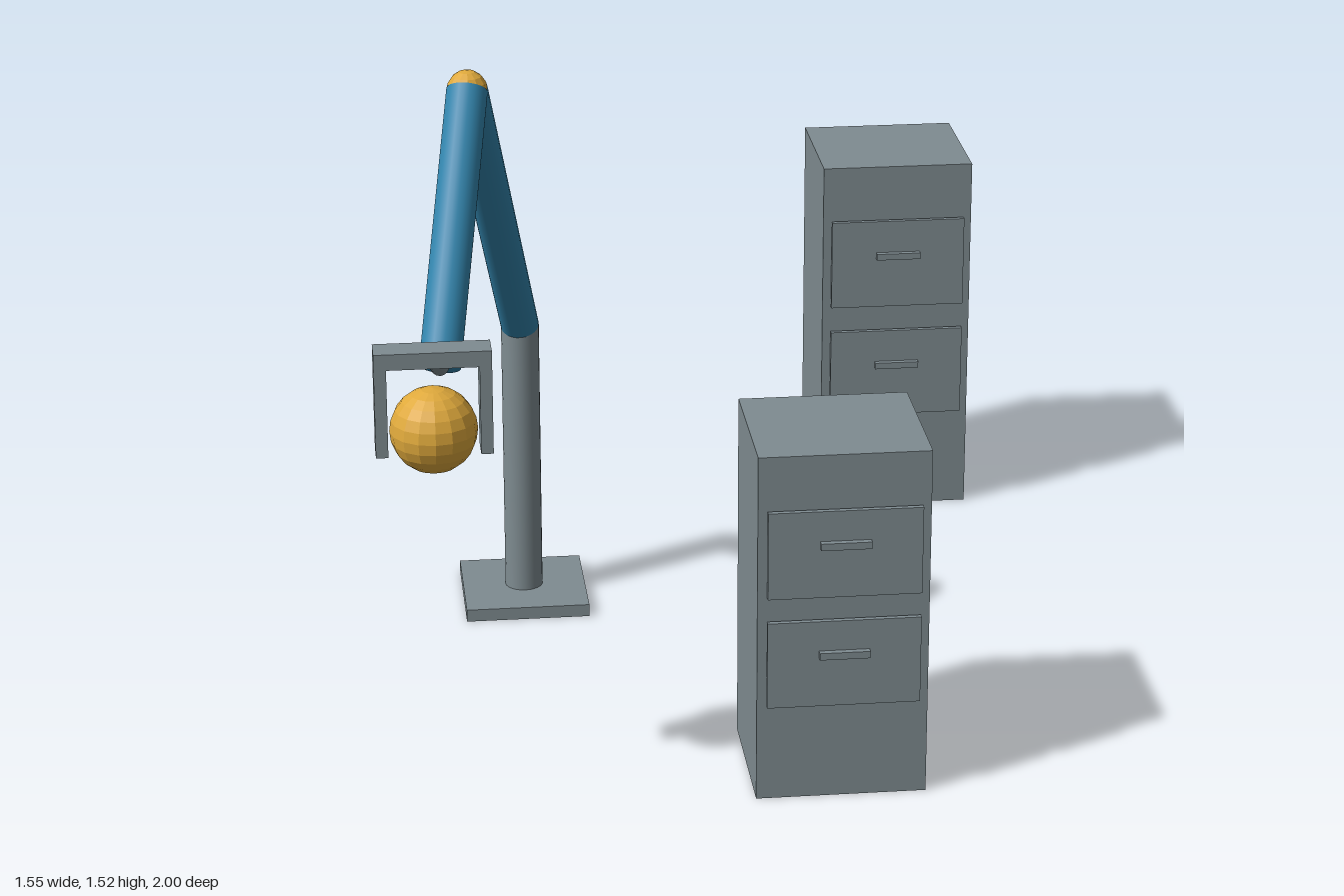
import * as THREE from 'three';

export function createModel() {
  const model = new THREE.Group();
  model.name = 'robotArmAndCabinets';

  const grey = new THREE.MeshStandardMaterial({ color: 0x7f8c91 });
  grey.name = 'steel grey';
  const blue = new THREE.MeshStandardMaterial({ color: 0x3385ad });
  blue.name = 'arm blue';
  const amber = new THREE.MeshStandardMaterial({ color: 0xdfa93c });
  amber.name = 'joint amber';

  const add = (parent, name, geometry, material, x, y, z) => {
    const mesh = new THREE.Mesh(geometry, material);
    mesh.name = name;
    mesh.position.set(x, y, z);
    parent.add(mesh);
    return mesh;
  };
  // Box given by its minimum and maximum corners
  const box = (parent, name, [x0, y0, z0], [x1, y1, z1]) =>
    add(parent, name, new THREE.BoxGeometry(x1 - x0, y1 - y0, z1 - z0), grey,
      (x0 + x1) / 2, (y0 + y1) / 2, (z0 + z1) / 2);
  // Cylinder between two points
  const rod = (parent, name, a, b, radius, material) => {
    const dir = b.clone().sub(a);
    const mid = a.clone().add(b).multiplyScalar(0.5);
    const mesh = add(parent, name, new THREE.CylinderGeometry(radius, radius, dir.length(), 24), material, mid.x, mid.y, mid.z);
    mesh.quaternion.setFromUnitVectors(new THREE.Vector3(0, 1, 0), dir.normalize());
  };
  // Faceted ball
  const ball = (parent, name, p, radius, w, h) => {
    const geometry = new THREE.SphereGeometry(radius, w, h).toNonIndexed();
    geometry.computeVertexNormals();
    add(parent, name, geometry, amber, p.x, p.y, p.z);
  };

  // Robot arm: column, two links, joints
  const arm = new THREE.Group();
  arm.name = 'robotArm';
  model.add(arm);
  const foot = new THREE.Vector3(-0.397, 0.02, -0.197);
  const shoulder = new THREE.Vector3(-0.397, 0.7, -0.197);
  const elbow = new THREE.Vector3(-0.543, 1.479, 0.432);
  const wrist = new THREE.Vector3(-0.632, 0.992, 0.817);
  const grip = new THREE.Vector3(-0.652, 1.052, 0.908);

  box(arm, 'basePlate', [-0.545, 0, -0.345], [-0.25, 0.03, -0.05]);
  rod(arm, 'column', foot, shoulder, 0.045, grey);
  rod(arm, 'upperArm', shoulder, elbow, 0.045, blue);
  rod(arm, 'foreArm', elbow, wrist, 0.045, blue);
  ball(arm, 'shoulderJoint', shoulder, 0.045, 12, 8);
  ball(arm, 'elbowJoint', elbow, 0.045, 12, 8);
  rod(arm, 'wristLink', wrist, grip, 0.02, grey);

  // Gripper holding a ball
  const gripper = new THREE.Group();
  gripper.name = 'gripper';
  arm.add(gripper);
  box(gripper, 'gripperBar', [-0.775, 1.035, 0.875], [-0.529, 1.07, 0.941]);
  for (const side of [-1, 1]) {
    const x = grip.x + side * 0.11;
    box(gripper, side < 0 ? 'rightFinger' : 'leftFinger', [x - 0.013, 0.84, 0.875], [x + 0.013, 1.036, 0.941]);
  }
  ball(model, 'heldBall', new THREE.Vector3(-0.652, 0.887, 0.908), 0.093, 16, 12);

  // Cabinet with two drawer fronts standing just off its face
  const cabinet = (name, x, height, back, front, drawerHeight, drawerYs) => {
    const group = new THREE.Group();
    group.name = name;
    model.add(group);
    box(group, 'cabinetBody', [x - 0.187, 0, back], [x + 0.187, height, front]);
    for (const y of drawerYs) {
      const h = drawerHeight / 2;
      box(group, 'drawerFront', [x - 0.167, y - h, front + 0.008], [x + 0.167, y + h, front + 0.02]);
      box(group, 'drawerHandle', [x - 0.055, y + 0.015, front + 0.02], [x + 0.055, y + 0.031, front + 0.034]);
    }
  };
  cabinet('frontCabinet', 0.216, 0.803, 0.595, 0.938, 0.2, [0.582, 0.326]);
  cabinet('backCabinet', 0.584, 0.91, -1, -0.658, 0.226, [0.66, 0.368]);

  return model;
}
